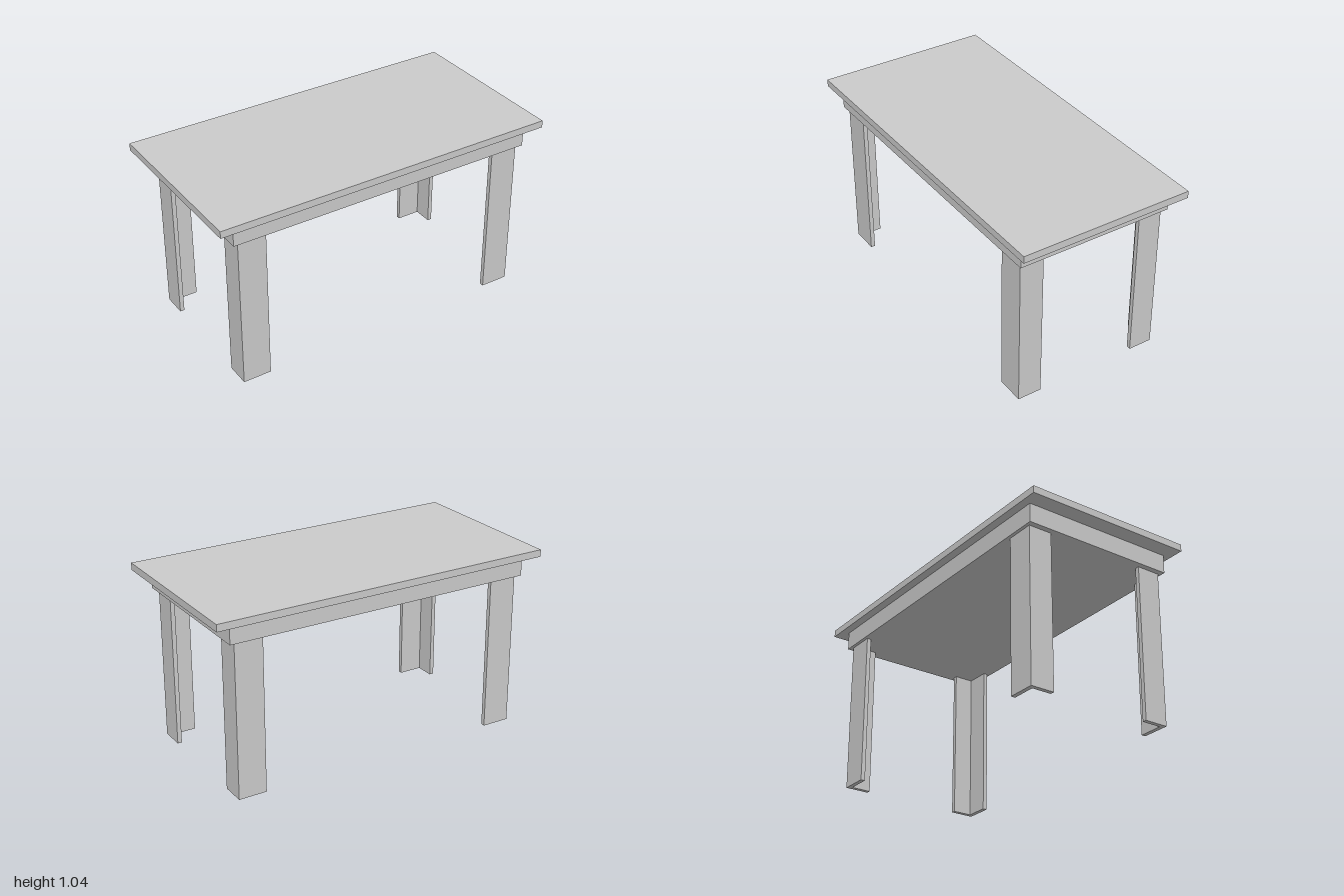
import * as THREE from 'three';

export function createModel() {
  const group = new THREE.Group();
  group.name = 'table';
  const material = new THREE.MeshStandardMaterial({ color: 0xcccccc, flatShading: true });

  const legHeight = 0.89;
  const apronTop = 0.997;
  const tableTop = 1.038;

  // A centred slab between two heights
  function slab(name, width, depth, y0, y1) {
    const mesh = new THREE.Mesh(new THREE.BoxGeometry(width, y1 - y0, depth), material);
    mesh.name = name;
    mesh.position.y = (y0 + y1) / 2;
    group.add(mesh);
  }
  slab('tabletop', 2, 1, apronTop, tableTop);
  slab('apron', 1.815, 0.907, legHeight, apronTop);

  // Angle-section legs, with the corner of the L facing outwards
  const outerX = 0.876, innerX = 0.713;
  const outerZ = 0.435, innerZ = 0.296;
  const t = 0.025;
  const names = { '1,1': 'frontLeftLeg', '-1,1': 'frontRightLeg', '1,-1': 'backLeftLeg', '-1,-1': 'backRightLeg' };
  for (const sx of [-1, 1]) {
    for (const sz of [-1, 1]) {
      const section = new THREE.Shape([
        [outerX, outerZ], [innerX, outerZ], [innerX, outerZ - t],
        [outerX - t, outerZ - t], [outerX - t, innerZ], [outerX, innerZ],
      ].map(([x, z]) => new THREE.Vector2(sx * x, -sz * z)));
      const geometry = new THREE.ExtrudeGeometry(section, { depth: legHeight, bevelEnabled: false });
      geometry.rotateX(-Math.PI / 2);
      const leg = new THREE.Mesh(geometry, material);
      leg.name = names[`${sx},${sz}`];
      group.add(leg);
    }
  }
  return group;
}
